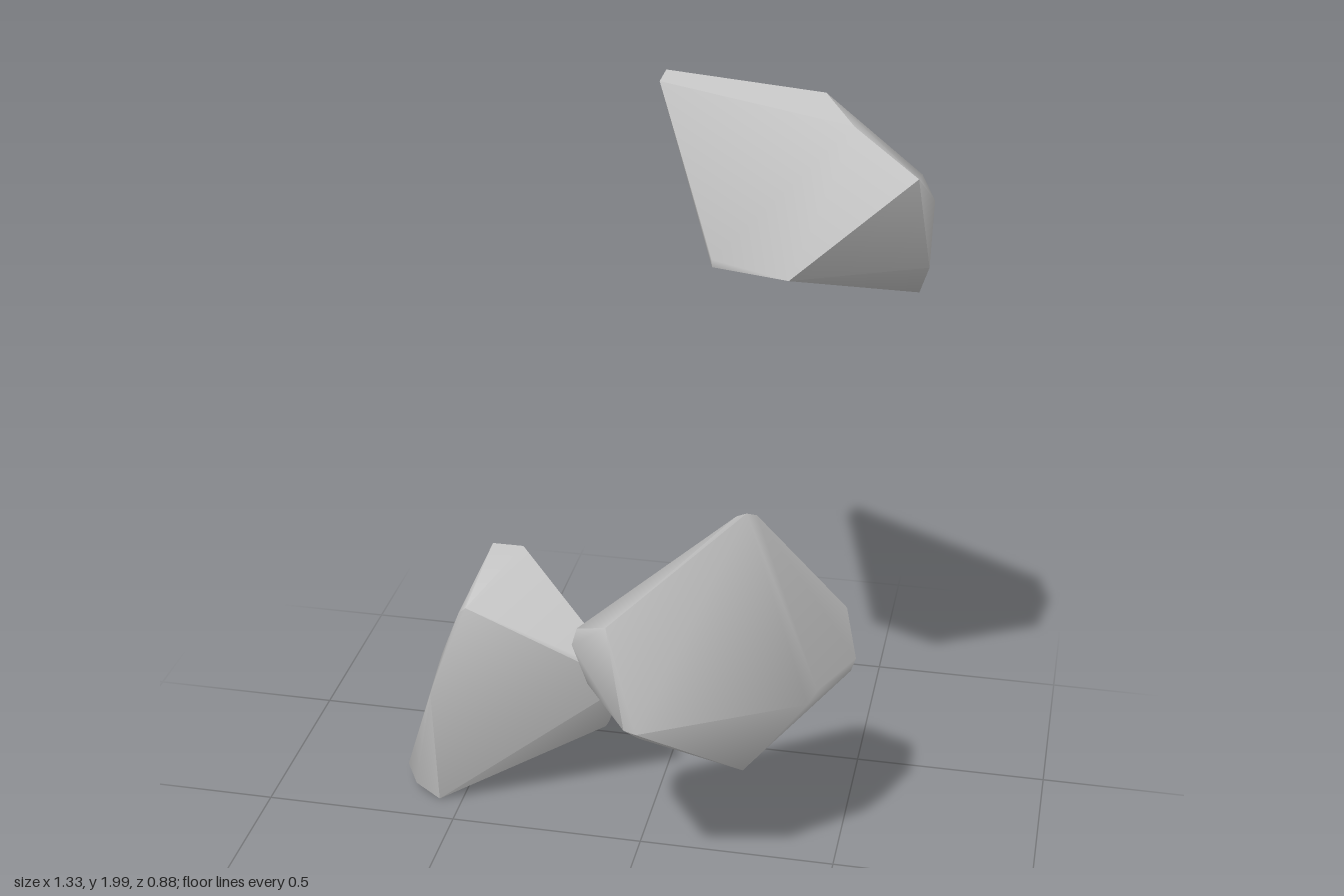
import * as THREE from 'three';
import { ConvexGeometry } from 'three/addons/geometries/ConvexGeometry.js';
import { toCreasedNormals } from 'three/addons/utils/BufferGeometryUtils.js';

// Corner points of each chipped rock; close pairs make the worn edges
const rocks = {
  upperRock: [
    [-0.03, 1.92, -0.37], [-0.02, 1.94, -0.4], [0, 1.9, -0.435], // long tip
    [0.4, 2, -0.11], [0.48, 1.965, 0.01], // crest
    [0.635, 1.89, 0.11], [0.66, 1.79, -0.04], [0.66, 1.65, 0.01], // right side
    [0.62, 1.81, -0.15], // back right shoulder
    [0.37, 1.665, 0.19], [0.18, 1.64, 0.08], [0.18, 1.66, 0.085], // front lip
    [0.21, 1.635, -0.15], // underside
    [0.62, 1.49, -0.235], [0.6, 1.5, -0.27], [0.62, 1.53, -0.25], // lower point
  ],
  middleRock: [
    [0.3, 1.125, 0.265], [0.32, 1.11, 0.24], [0.275, 1.11, 0.255], // peak
    [-0.1, 0.76, 0.31], [-0.09, 0.8, 0.3], [-0.07, 0.64, 0.28], // left side
    [0, 0.865, 0.395], [0.08, 0.615, 0.44], [0.05, 0.62, 0.435], // front
    [0.45, 0.62, 0.235], [0.47, 0.65, 0.215], // front right
    [0.51, 0.77, 0.02], [0.54, 0.65, 0.05], [0.53, 0.62, 0.06], // right side
    [0.17, 0.68, 0.025], [0.12, 0.64, 0.045], // back
    [0.05, 0.49, 0.26], [0.3, 0.42, 0.24], [0.28, 0.425, 0.23], // underside
  ],
  lowerRock: [
    [-0.43, 0.72, -0.22], [-0.35, 0.72, -0.22], // top
    [-0.44, 0.66, 0.02], [-0.46, 0.64, 0.015], [-0.55, 0.38, -0.01], // front edge
    [-0.05, 0.455, -0.07], [-0.05, 0.44, -0.06], [-0.08, 0.37, -0.14], // right tip
    [-0.18, 0.36, -0.32], [-0.15, 0.34, -0.29], // back right
    [-0.14, 0.2, -0.23], [-0.13, 0.22, -0.22], // lower right
    [-0.645, 0.24, -0.435], [-0.64, 0.22, -0.43], // back
    [-0.56, 0.01, -0.085], [-0.63, 0.035, -0.11], // base
    [-0.66, 0.04, -0.17], [-0.665, 0.06, -0.16], // left base
  ],
};

export function createModel() {
  const group = new THREE.Group();
  group.name = 'rocks';
  const stone = new THREE.MeshStandardMaterial({ color: 0xc4c4c4 });
  stone.name = 'stone';

  for (const [name, points] of Object.entries(rocks)) {
    const hull = new ConvexGeometry(points.map((p) => new THREE.Vector3(...p)));
    const rock = new THREE.Mesh(toCreasedNormals(hull, 1), stone);
    rock.name = name;
    group.add(rock);
  }
  return group;
}
